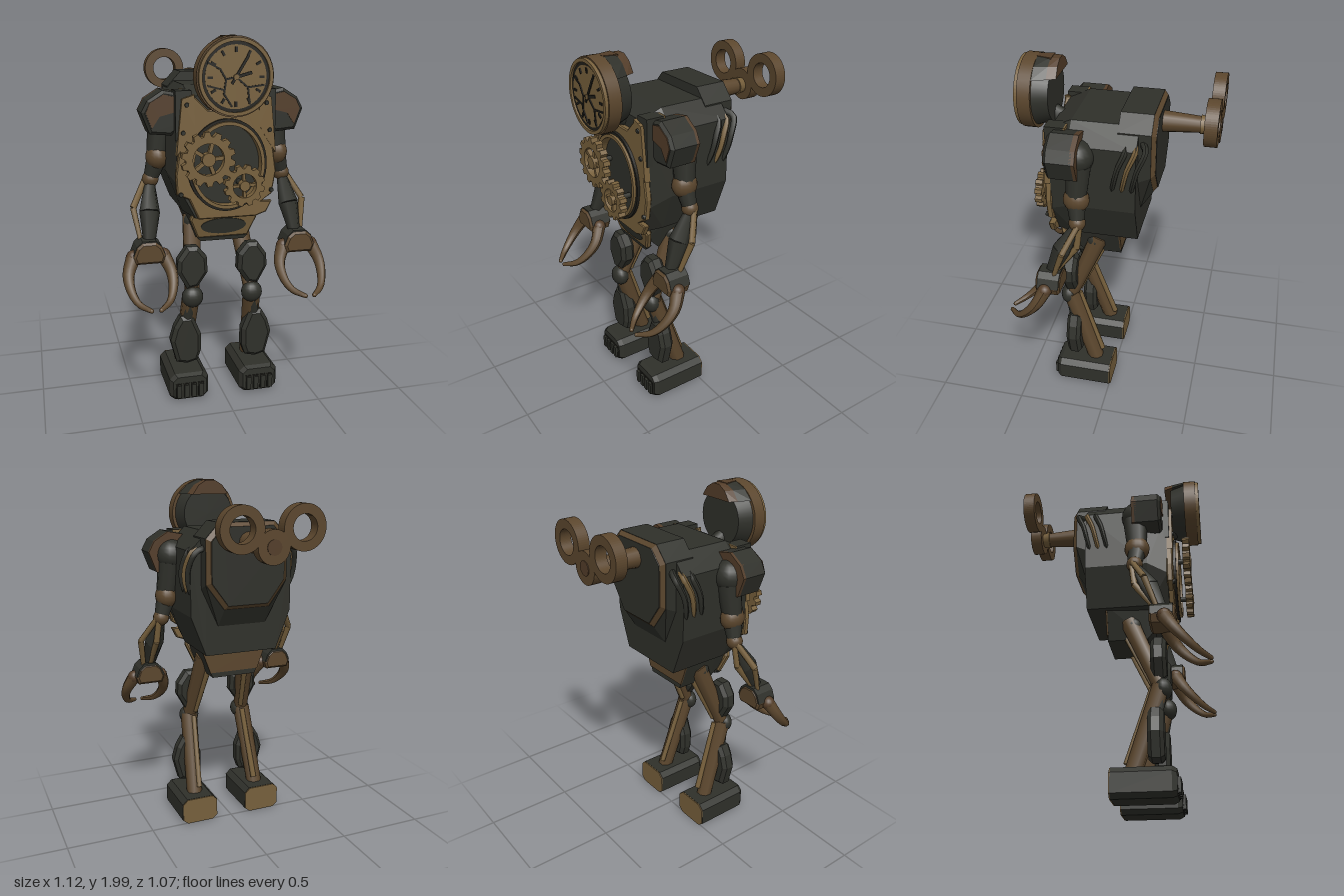
import * as THREE from 'three';
import { ConvexGeometry } from 'three/addons/geometries/ConvexGeometry.js';

const V = (x, y, z) => new THREE.Vector3(x, y, z);

export function createModel() {
  const root = new THREE.Group();
  root.name = 'clockworkRobot';
  const mat = (name, color) => Object.assign(new THREE.MeshStandardMaterial({ color }), { name });
  const dark = mat('darkIron', 0x2f302a), bronze = mat('bronze', 0x77603c);
  const brown = mat('agedBrass', 0x5b462d), copper = mat('rustyCopper', 0x533d29);
  const black = mat('blackInlay', 0x201f1a);

  const add = (name, geo, m, x = 0, y = 0, z = 0) => {
    const mesh = new THREE.Mesh(geo, m);
    mesh.name = name;
    mesh.position.set(x, y, z);
    root.add(mesh);
    return mesh;
  };
  const box = (name, m, w, h, d, x, y, z) => add(name, new THREE.BoxGeometry(w, h, d), m, x, y, z);
  const ball = (name, m, r, x, y, z) => add(name, new THREE.SphereGeometry(r, 16, 12), m, x, y, z);
  const disc = (name, m, r0, r1, z0, z1, x, y, n = 40) =>
    add(name, new THREE.CylinderGeometry(r1, r0, z1 - z0, n).rotateX(Math.PI / 2), m, x, y, (z0 + z1) / 2);
  // round bar between two points
  const bar = (name, m, a, b, r0, r1 = r0, n = 10) => {
    const d = b.clone().sub(a);
    const mesh = add(name, new THREE.CylinderGeometry(r1, r0, d.length(), n), m);
    mesh.position.copy(a).addScaledVector(d, 0.5);
    mesh.quaternion.setFromUnitVectors(V(0, 1, 0), d.normalize());
    return mesh;
  };
  // convex solid through outlines [[z, [[x, y], ...]], ...]
  const hull = (name, m, rings) =>
    add(name, new ConvexGeometry(rings.flatMap(([z, pts]) => pts.map(([x, y]) => V(x, y, z)))), m);
  const both = pts => pts.concat(pts.map(([x, y]) => [-x, y]));
  const shapeOf = pts => new THREE.Shape(pts.map(p => new THREE.Vector2(...p)));
  // chamfered plate from z0 to z1
  const plate = (name, m, shape, z0, z1, bevel = 0) => add(name, new THREE.ExtrudeGeometry(shape, {
    depth: z1 - z0 - 2 * bevel, bevelEnabled: bevel > 0, bevelSize: bevel, bevelThickness: bevel,
    bevelOffset: -bevel, bevelSegments: 1, curveSegments: 32 }), m, 0, 0, z0 + bevel);
  const ellipse = (C, x, y, rx, ry) => new C().absellipse(x, y, rx, ry, 0, Math.PI * 2, false, 0);
  const ring = (x, y, rx, ry, w) => {
    const s = ellipse(THREE.Shape, x, y, rx, ry);
    s.holes.push(ellipse(THREE.Path, x, y, rx - w, ry - w));
    return s;
  };
  const taperedTube = (name, m, pts, r0, r1, sides = 8) => {
    const curve = new THREE.CatmullRomCurve3(pts), n = 14;
    const g = new THREE.TubeGeometry(curve, n, r0, sides), p = g.attributes.position, v = V();
    for (let i = 0; i < p.count; i++) {
      const t = Math.floor(i / (sides + 1)) / n, c = curve.getPointAt(t);
      v.fromBufferAttribute(p, i).sub(c).multiplyScalar(1 + (r1 / r0 - 1) * t).add(c);
      p.setXYZ(i, v.x, v.y, v.z);
    }
    g.computeVertexNormals();
    const end = pts[pts.length - 1];
    ball(name + 'Tip', m, r1, end.x, end.y, end.z);
    return add(name, g, m);
  };

  // torso and back shell
  const torso = both([[0.2, 1.75], [0.295, 1.65], [0.295, 1.3], [0.21, 1.08]]);
  hull('torso', dark, [[-0.15, torso], [0.2, torso],
    [0.31, both([[0.19, 1.7], [0.26, 1.63], [0.26, 1.25], [0.16, 1.06]])]]);
  const rim = both([[0.16, 1.8], [0.235, 1.72], [0.235, 1.48], [0.13, 1.34]]);
  hull('backShell', dark, [[-0.045, both([[0.16, 1.8], [0.235, 1.72], [0.235, 1.4], [0.14, 1.2]])],
    [-0.15, both([[0.14, 1.24]])], [-0.215, rim]]);
  const inner = rim.map(([x, y]) => [x * 0.9, 1.58 + (y - 1.58) * 0.9]);
  hull('backShellRim', brown, [[-0.213, rim], [-0.235, inner]]);
  hull('backPlate', dark, [[-0.23, inner], [-0.238, inner.map(([x, y]) => [x * 0.98, y])]]);

  // pelvis
  hull('pelvis', dark, [[-0.042, both([[0.2, 1.1], [0.13, 0.915]])], [0.18, both([[0.19, 1.1], [0.13, 0.915]])], [0.26, both([[0.17, 1.09], [0.15, 1.0]])]]);
  hull('pelvisBack', brown, [-0.038, -0.047].map(z => [z, both([[0.2, 1.095], [0.145, 0.945]])]));
  const belly = plate('bellyPlate', bronze, shapeOf([[-0.17, 0.08], [0.17, 0.08], [0.185, 0.04], [0.14, -0.07], [-0.14, -0.07], [-0.185, 0.04]]), 0, 0.035, 0.008);
  const oval = plate('bellyInset', dark, ellipse(THREE.Shape, 0, 0, 0.125, 0.046), 0.031, 0.039);
  const lip = plate('bellyLip', dark, shapeOf([[-0.142, -0.068], [0.142, -0.068], [0.12, -0.09], [-0.12, -0.09]]), 0, 0.032);
  for (const b of [belly, oval, lip]) {
    b.rotation.x = 0.22;
    b.position.set(0, 1.01 - b.position.z * 0.22, 0.245 + b.position.z * 0.976);
  }

  // chest plate with window
  const chest = shapeOf([[-0.1, 1.63], [-0.17, 1.7], [-0.21, 1.7], [-0.27, 1.3], [-0.265, 1.2], [-0.2, 1.17], [-0.15, 1.06],
    [0.16, 1.06], [0.22, 1.08], [0.25, 1.14], [0.19, 1.14], [0.25, 1.18], [0.27, 1.3], [0.21, 1.7], [0.17, 1.7], [0.1, 1.63]]);
  chest.holes.push(ellipse(THREE.Path, 0, 1.345, 0.195, 0.225));
  plate('chestPlate', bronze, chest, 0.305, 0.34, 0.006);
  plate('windowBack', dark, ellipse(THREE.Shape, 0, 1.345, 0.2, 0.23), 0.31, 0.318);
  plate('windowSeal', black, ring(0, 1.345, 0.212, 0.242, 0.02), 0.33, 0.355);
  plate('windowRim', bronze, ring(0, 1.345, 0.198, 0.228, 0.018), 0.31, 0.37);

  // gears
  const gear = (x, y, r, teeth, spokes) => {
    const pts = [];
    for (let i = 0; i < teeth; i++)
      for (const [f, k] of [[0, 0.84], [0.25, 0.84], [0.4, 1], [0.8, 1]]) {
        const a = (i + f) / teeth * Math.PI * 2;
        pts.push([x + Math.cos(a) * r * k, y + Math.sin(a) * r * k]);
      }
    const s = shapeOf(pts);
    s.holes.push(ellipse(THREE.Path, x, y, r * 0.58, r * 0.58));
    plate('gear', bronze, s, 0.395, 0.435);
    for (let i = 0; i < spokes; i++) {
      const a = i / spokes * Math.PI * 2 + 0.05;
      box('gearSpoke', bronze, r * 0.5, r * 0.14, 0.025, x + Math.cos(a) * r * 0.36, y + Math.sin(a) * r * 0.36, 0.415).rotation.z = a;
    }
    disc('gearHub', bronze, r * 0.25, r * 0.25, 0.395, 0.44, x, y, 16);
    disc('gearAxle', dark, 0.015, 0.015, 0.31, 0.4, x, y, 10);
  };
  gear(-0.12, 1.395, 0.14, 14, 5);
  gear(0.07, 1.25, 0.108, 12, 4);

  // clock head
  const hy = 1.805;
  bar('neck', dark, V(0, 1.64, 0.26), V(0, 1.7, 0.37), 0.045);
  disc('headBack', dark, 0.15, 0.18, 0.335, 0.42, 0, hy);
  disc('headCase', brown, 0.195, 0.195, 0.415, 0.485, 0, hy);
  plate('dialRim', bronze, ring(0, hy, 0.187, 0.187, 0.018), 0.48, 0.503);
  plate('dialGroove', black, ring(0, hy, 0.17, 0.17, 0.018), 0.484, 0.492);
  disc('dial', bronze, 0.154, 0.154, 0.48, 0.493, 0, hy);
  for (let i = 0; i < 12; i++) {
    const a = i / 12 * Math.PI * 2;
    box('hourMark', black, 0.026, 0.012, 0.006, Math.cos(a) * 0.13, hy + Math.sin(a) * 0.13, 0.495).rotation.z = a;
  }
  const strip = (name, m, x0, y0, x1, y1, w, z) => {
    box(name, m, Math.hypot(x1 - x0, y1 - y0) + w / 2, w, 0.005, (x0 + x1) / 2, hy + (y0 + y1) / 2, z).rotation.z = Math.atan2(y1 - y0, x1 - x0);
  };
  const cracks = [[[-0.14, 0.07], [-0.08, 0.04], [-0.05, -0.01], [0, 0]], [[-0.05, -0.01], [-0.06, -0.08], [-0.02, -0.14]],
    [[-0.06, -0.06], [-0.14, -0.04]], [[0, 0], [0.06, -0.05], [0.07, -0.13]], [[0.06, -0.05], [0.14, -0.04]]];
  for (const c of cracks)
    for (let i = 1; i < c.length; i++) strip('crack', black, ...c[i - 1], ...c[i], 0.009, 0.495);
  strip('minuteHand', black, -0.02, -0.03, 0.06, 0.1, 0.013, 0.498);
  strip('hourHand', black, 0, 0, 0.075, 0.02, 0.015, 0.498);
  disc('handPin', bronze, 0.014, 0.014, 0.49, 0.503, 0, hy, 12);
  const arc = k => [-1, -0.6, -0.2, 0.2, 0.6, 1].map(t => [Math.sin(t * 0.96) * 0.195 * k, hy + Math.cos(t * 0.96) * 0.195]);
  hull('headHood', dark, [[0.42, arc(0.98)], [0.345, arc(0.8)]]);
  hull('headHoodBack', copper, [[0.345, arc(0.8)], [0.298, arc(0.68)]]);
  hull('headHoodStain', copper, [0.34, 0.418].map((z, i) => [z, [-0.04, 0.04].flatMap(x => [[x * (1 - i * 0.4), 1.991], [x * (1 - i * 0.4), 1.9995]])]));

  // winding key
  disc('keyShaft', brown, 0.042, 0.056, -0.44, -0.23, 0, 1.695, 16);
  disc('keyCollar', bronze, 0.04, 0.05, -0.475, -0.43, 0, 1.695, 16);
  disc('keyHub', brown, 0.088, 0.088, -0.535, -0.47, 0, 1.7, 24);
  disc('keyBolt', copper, 0.04, 0.04, -0.539, -0.53, 0, 1.7, 12);
  for (const s of [1, -1]) plate('keyLoop', brown, ring(s * 0.168, 1.79, 0.117, 0.117, 0.05), -0.535, -0.47);

  for (const s of [1, -1]) {
    const P = (x, y, z) => V(s * x, y, z);
    const flip = pts => pts.map(([x, y]) => [s * x, y]);

    // straps and rivets
    box('shoulderStrap', dark, 0.084, 0.25, 0.1, s * 0.223, 1.605, 0.275);
    box('strapEdge', bronze, 0.084, 0.25, 0.009, s * 0.223, 1.605, 0.221);
    hull('strapFront', bronze, [0.31, 0.342].map(z => [z, flip([[0.17, 1.71], [0.235, 1.69], [0.265, 1.4], [0.21, 1.48], [0.17, 1.55]])]));
    for (const [x, y] of [[0.21, 1.66], [0.23, 1.52], [0.245, 1.2]]) disc('rivet', dark, 0.014, 0.011, 0.335, 0.349, s * x, y, 10);

    // side vents
    [-0.05, -0.1, -0.15].forEach((z, i) => taperedTube('sideRib', i === 1 ? bronze : dark,
      [P(0.22, 1.67, z - 0.02), P(0.28, 1.65, z - 0.045), P(0.31, 1.56, z - 0.01), P(0.305, 1.48, z + 0.01), P(0.27, 1.39, z + 0.03)], 0.018, 0.012, 6));

    // shoulder
    const pad = flip([[0.432, 1.62], [0.4, 1.68], [0.32, 1.73], [0.22, 1.71], [0.2, 1.56], [0.28, 1.5], [0.39, 1.51]]);
    plate('shoulderPad', dark, shapeOf(pad), 0.13, 0.29, 0.015);
    plate('shoulderPadBack', copper, shapeOf(pad), 0.128, 0.155);
    plate('shoulderPatch', copper, shapeOf(flip([[0.41, 1.62], [0.39, 1.67], [0.32, 1.71], [0.23, 1.69], [0.26, 1.62], [0.34, 1.6], [0.38, 1.54]])), 0.287, 0.294);
    ball('shoulderJoint', dark, 0.088, s * 0.3, 1.6, 0.15);

    // arm
    bar('upperArm', dark, P(0.31, 1.56, 0.14), P(0.335, 1.38, 0.15), 0.068, 0.054);
    ball('armJoint', brown, 0.07, s * 0.335, 1.37, 0.15).scale.x = 0.85;
    bar('lowerArm', dark, P(0.335, 1.36, 0.15), P(0.37, 1.25, 0.14), 0.054, 0.038);
    ball('elbow', brown, 0.045, s * 0.37, 1.25, 0.14);
    bar('forearmTop', dark, P(0.375, 1.22, 0.15), P(0.39, 1.09, 0.22), 0.03, 0.056, 6);
    bar('forearm', dark, P(0.39, 1.09, 0.22), P(0.405, 0.95, 0.28), 0.056, 0.034, 6);
    for (const [x, z] of [[0.475, 0.2], [0.4, 0.14]]) {
      bar('forearmRod', bronze, P(0.385, 1.27, 0.12), P(x, 1.11, z), 0.016, 0.018, 6);
      bar('forearmRod', bronze, P(x, 1.11, z), P(x * 0.5 + 0.21, 0.94, 0.26), 0.018, 0.013, 6);
    }

    // hand and claws
    const hand = [[0.38, 0.955], [0.45, 0.955], [0.48, 0.93], [0.5, 0.88], [0.485, 0.84], [0.345, 0.84], [0.33, 0.88], [0.35, 0.93]];
    plate('hand', brown, shapeOf(flip(hand)), 0.22, 0.355, 0.012);
    plate('handCover', dark, shapeOf(flip([[0.33, 0.885], [0.35, 0.935], [0.38, 0.962], [0.45, 0.962], [0.48, 0.935], [0.5, 0.885]])), 0.225, 0.343);
    for (const k of [1, -1]) {
      const C = (x, y, z) => P(0.415 + k * x, y, z);
      const base = C(0.08, 0.87, 0.3);
      ball('knuckle', copper, 0.038, base.x, base.y, base.z);
      taperedTube('claw', brown, [base, C(0.114, 0.79, 0.345), C(0.11, 0.72, 0.405), C(0.08, 0.67, 0.465), C(0.025, 0.65, 0.52)], 0.039, 0.012);
    }

    // leg
    ball('hipJoint', dark, 0.055, s * 0.13, 0.99, 0.1);
    bar('thigh', brown, P(0.13, 1.02, 0.08), P(0.17, 0.62, 0.245), 0.055, 0.042, 8);
    bar('thighRod', bronze, P(0.11, 1.0, 0.03), P(0.15, 0.64, 0.2), 0.018, 0.016, 6);
    plate('thighGuard', dark, shapeOf(flip([[0.14, 0.89], [0.2, 0.89], [0.25, 0.82], [0.255, 0.75], [0.2, 0.65], [0.14, 0.66], [0.085, 0.74], [0.09, 0.83]])), 0.2, 0.285, 0.02);
    ball('knee', dark, 0.06, s * 0.17, 0.6, 0.262).scale.z = 0.8;
    bar('shin', brown, P(0.175, 0.61, 0.25), P(0.2, 0.15, 0.1), 0.05, 0.046, 8);
    bar('shinRod', bronze, P(0.16, 0.61, 0.2), P(0.18, 0.2, 0.065), 0.015, 0.017, 6);
    plate('shinGuard', dark, shapeOf(flip([[0.165, 0.48], [0.235, 0.48], [0.27, 0.42], [0.293, 0.34], [0.26, 0.21], [0.2, 0.195], [0.14, 0.21], [0.12, 0.27], [0.12, 0.37]])), 0.18, 0.265, 0.02);
    bar('shinLink', dark, P(0.175, 0.58, 0.25), P(0.195, 0.44, 0.225), 0.035, 0.03, 8);

    // foot
    const foot = (k, z) => [z, [[0.11, 0.05], [0.08, 0.08], [0.11, -0.05], [0.08, -0.075]].flatMap(([x, y]) => [[s * 0.202 + x * k, 0.082 + y * k], [s * 0.202 - x * k, 0.082 + y * k]])];
    hull('foot', dark, [foot(1, -0.002), foot(1, 0.3), foot(0.85, 0.325)]);
    hull('heelPlate', bronze, [foot(0.98, -0.001), foot(0.98, -0.008)]);
    for (let i = 0; i < 4; i++) {
      const x = s * 0.202 + (i - 1.5) * 0.042;
      box('toeSlot', black, 0.034, 0.085, 0.008, x, 0.07, 0.325);
      box('toe', dark, 0.026, 0.075, 0.02, x, 0.07, 0.332);
    }
  }
  return root;
}
